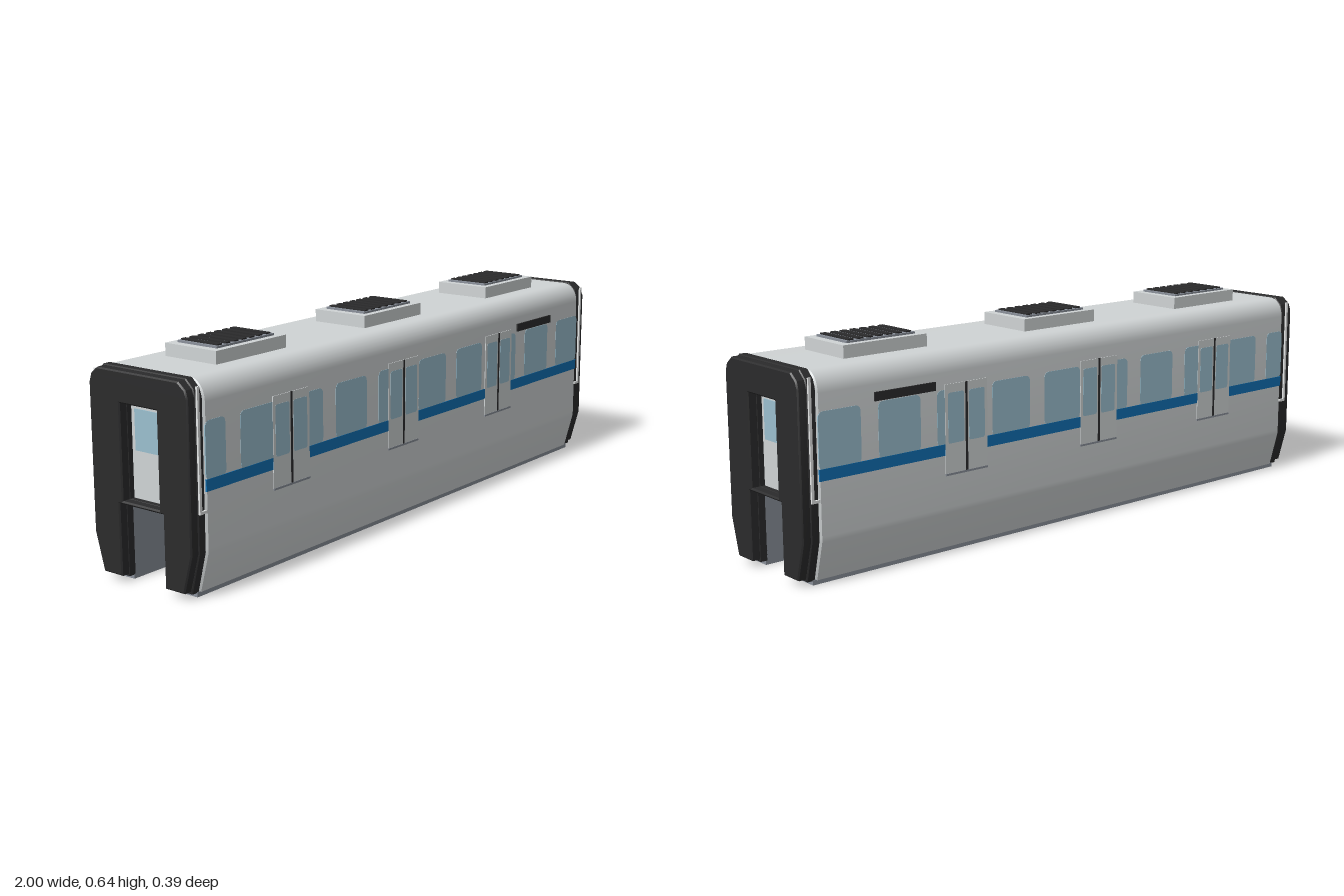
import * as THREE from 'three';
import { toCreasedNormals } from 'three/addons/utils/BufferGeometryUtils.js';

const paint = (name, color) => {
  const m = new THREE.MeshStandardMaterial({ color });
  m.name = name;
  return m;
};

export function createModel() {
  const model = new THREE.Group();
  model.name = 'monorailCar';
  const shell = paint('light grey shell', 0xd0d4d5);
  const black = paint('black rubber', 0x2b2b2c);
  const blue = paint('blue stripe', 0x0f70b4);
  const glass = paint('pale blue glass', 0x9bbfcf);
  const steel = paint('blue grey steel', 0x8a909a);
  const white = paint('white rail', 0xeef0f0);

  const add = (name, geo, mat, parent = model) => {
    const m = new THREE.Mesh(geo, mat);
    m.name = name;
    parent.add(m);
    return m;
  };
  // Box given by its limits on each axis
  const box = (name, mat, x0, x1, y0, y1, z0, z1, parent = model) => {
    const m = add(name, new THREE.BoxGeometry(x1 - x0, y1 - y0, z1 - z0), mat, parent);
    m.position.set((x0 + x1) / 2, (y0 + y1) / 2, (z0 + z1) / 2);
    return m;
  };
  // Mirror half an outline, then extrude it along x
  const mirrored = half => new THREE.Shape([
    ...half.map(([z, y]) => new THREE.Vector2(z, y)),
    ...half.slice().reverse().map(([z, y]) => new THREE.Vector2(-z, y)),
  ]);
  const extrudeX = (shape, length, bevel, crease) => {
    const g = new THREE.ExtrudeGeometry(shape, {
      depth: length - 2 * bevel, bevelEnabled: true, bevelSize: bevel,
      bevelThickness: bevel, bevelOffset: -bevel, bevelSegments: 1,
    });
    g.translate(0, 0, -length / 2 + bevel).rotateY(Math.PI / 2);
    return toCreasedNormals(g, crease);
  };

  // Body straddling the beam slot, with rounded roof shoulders
  const shoulder = [];
  for (let i = 0; i <= 8; i++) {
    const a = (i / 8) * Math.PI / 2;
    shoulder.push([0.138 + 0.05 * Math.cos(a), 0.535 + 0.06 * Math.sin(a)]);
  }
  const bodyHalf = [[0.083, 0.223], [0.083, 0.012], [0.157, 0.012], [0.187, 0.125],
    [0.188, 0.14], ...shoulder];
  add('body', extrudeX(mirrored(bodyHalf), 1.9, 0.008, 0.45), shell);

  // Steel lining of the slot and skirt edges
  box('slotCeiling', steel, -0.95, 0.95, 0.22, 0.226, -0.084, 0.084);
  for (const s of [-1, 1]) {
    const inner = box('slotWall', steel, -0.95, 0.95, 0, 0.222, 0.081, 0.087);
    inner.position.z *= s;
    const edge = box('skirtEdge', steel, -0.955, 0.955, 0, 0.014, 0.081, 0.156);
    edge.position.z *= s;
  }

  // Thin rounded plate on both long sides
  const sidePlate = (name, mat, x0, x1, y0, y1, out, r = 0) => {
    const sh = new THREE.Shape();
    if (r) {
      sh.moveTo(x0 + r, y0);
      sh.lineTo(x1 - r, y0).quadraticCurveTo(x1, y0, x1, y0 + r);
      sh.lineTo(x1, y1 - r).quadraticCurveTo(x1, y1, x1 - r, y1);
      sh.lineTo(x0 + r, y1).quadraticCurveTo(x0, y1, x0, y1 - r);
      sh.lineTo(x0, y0 + r).quadraticCurveTo(x0, y0, x0 + r, y0);
    } else {
      sh.moveTo(x0, y0).lineTo(x1, y0).lineTo(x1, y1).lineTo(x0, y1);
    }
    const t = 0.005;
    for (const s of [-1, 1]) {
      const g = new THREE.ExtrudeGeometry(sh, { depth: t, bevelEnabled: false, curveSegments: 5 });
      add(name, g, mat).position.z = s > 0 ? out - t : -out;
    }
  };

  // Evenly spaced windows, partly covered by the doors
  for (let i = 0; i < 10; i++) {
    const c = -0.94 + i * 0.2022;
    sidePlate('window', glass, Math.max(c - 0.072, -0.945), Math.min(c + 0.072, 0.945), 0.325, 0.485, 0.189, 0.018);
  }
  sidePlate('stripe', blue, -0.945, 0.945, 0.295, 0.328, 0.1898);

  // Three double doors on each side
  for (const x of [-0.603, -0.08, 0.443]) {
    sidePlate('door', shell, x - 0.077, x + 0.077, 0.24, 0.5, 0.1904);
    for (const d of [-0.038, 0.038])
      sidePlate('doorWindow', glass, x + d - 0.029, x + d + 0.029, 0.328, 0.475, 0.1909, 0.008);
    sidePlate('doorSeam', black, x - 0.004, x + 0.004, 0.24, 0.5, 0.1914);
    sidePlate('doorSill', steel, x - 0.077, x + 0.077, 0.235, 0.241, 0.1915);
  }
  sidePlate('destinationSign', black, 0.553, 0.762, 0.488, 0.513, 0.193);

  // Gangway ends with a door opening
  const frameShape = (w, top, bottom) => {
    const sh = mirrored([[0.081, 0.226], [0.081, bottom], [w - 0.03, bottom], [w, 0.13],
      [w, 0.55], [w - 0.008, 0.573], [w - 0.033, top]]);
    sh.holes.push(new THREE.Path([[-0.068, 0.235], [-0.068, 0.505], [0.068, 0.505], [0.068, 0.235]]
      .map(p => new THREE.Vector2(...p))));
    return sh;
  };
  for (const s of [-1, 1]) {
    const end = new THREE.Group();
    end.name = 'gangwayEnd';
    end.rotation.y = s > 0 ? 0 : Math.PI;
    model.add(end);
    add('innerFrame', extrudeX(frameShape(0.184, 0.597, 0.012), 0.028, 0.003, 0.4), black, end).position.x = 0.96;
    add('outerFrame', extrudeX(frameShape(0.181, 0.593, 0.02), 0.03, 0.004, 0.4), black, end).position.x = 0.985;
    box('endDoor', shell, 0.948, 0.956, 0.235, 0.505, -0.068, 0.068, end);
    box('endDoorWindow', glass, 0.955, 0.959, 0.37, 0.485, -0.054, 0.054, end);
    for (const z of [-0.187, 0.187]) {
      box('handrail', white, 0.964, 0.972, 0.24, 0.58, z - 0.003, z + 0.003, end);
      box('handrailFoot', white, 0.945, 0.972, 0.238, 0.246, z - 0.003, z + 0.003, end);
    }
  }

  // Roof units with slatted vents
  for (const x of [-0.653, -0.005, 0.65]) {
    box('roofUnit', shell, x - 0.143, x + 0.143, 0.585, 0.632, -0.094, 0.094);
    box('ventPlate', steel, x - 0.117, x + 0.117, 0.63, 0.638, -0.073, 0.073);
    for (let i = 0; i < 7; i++) {
      const c = x + (i - 3) * 0.033;
      box('ventSlat', black, c - 0.009, c + 0.009, 0.635, 0.642, -0.068, 0.068);
    }
  }

  // Bogies: side plates, guide wheels, drive wheel and axle
  for (const x of [-0.57, 0.57]) {
    const bogie = new THREE.Group();
    bogie.name = 'bogie';
    bogie.position.x = x;
    model.add(bogie);
    box('bogieTop', black, -0.16, 0.16, 0.207, 0.222, -0.076, 0.076, bogie);
    box('axle', steel, -0.02, 0.02, 0.157, 0.197, -0.05, 0.05, bogie);
    for (const wx of [-0.08, 0.08]) {
      const wheel = add('driveWheel', new THREE.CylinderGeometry(0.046, 0.046, 0.078, 24).rotateX(Math.PI / 2), black, bogie);
      wheel.position.set(wx, 0.165, 0);
    }
    for (const s of [-1, 1]) {
      const plate = box('sidePlate', black, -0.16, 0.16, 0.016, 0.215, 0.066, 0.076, bogie);
      plate.position.z *= s;
      for (const [wx, y, h] of [[-0.1, 0.09, 0.036], [0.1, 0.09, 0.036], [0, 0.035, 0.028]]) {
        const w = add('guideWheel', new THREE.CylinderGeometry(0.04, 0.04, h, 20), black, bogie);
        w.scale.z = 0.25;
        w.position.set(wx, y, s * 0.065);
      }
    }
  }
  return model;
}
